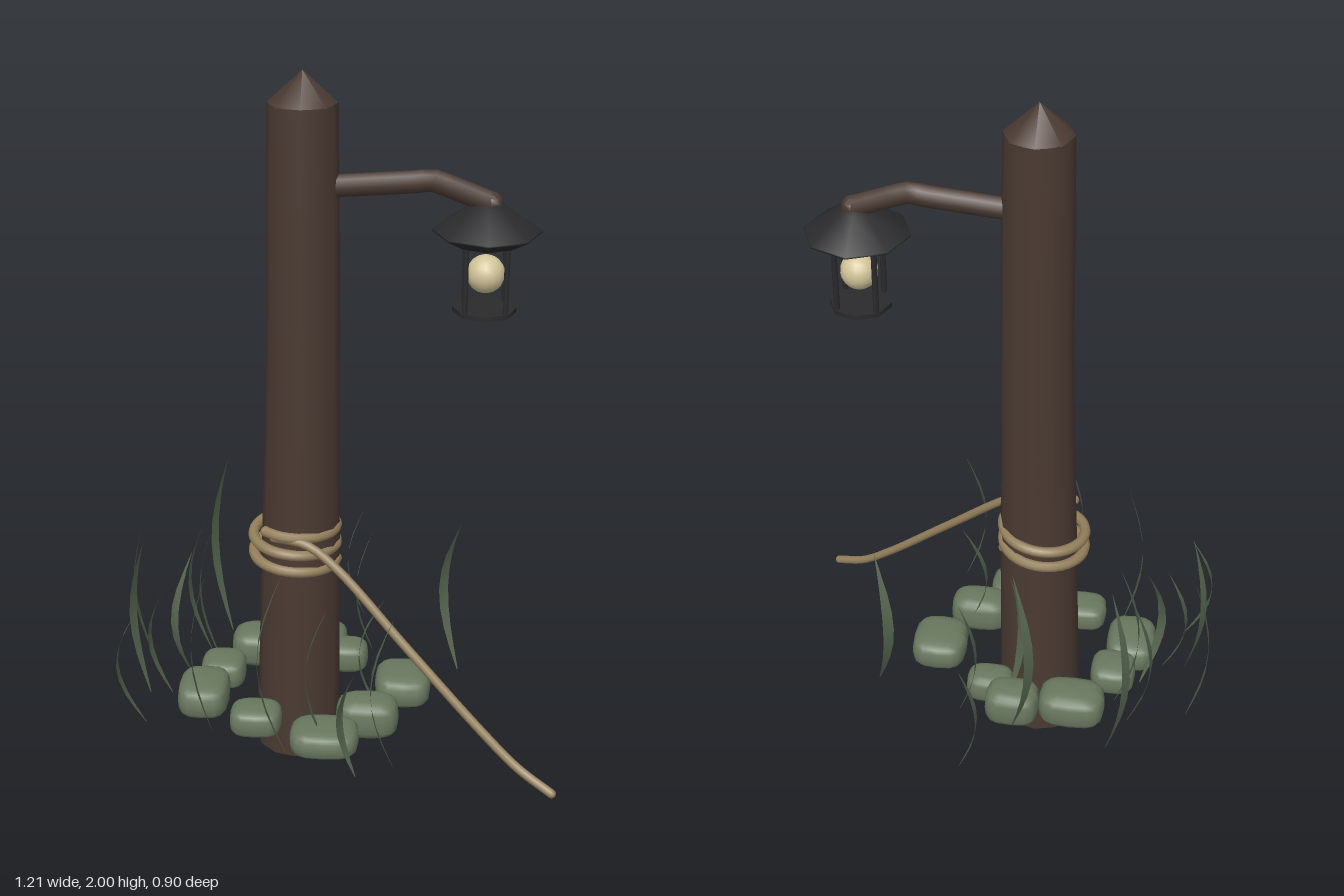
import * as THREE from 'three';

const mat = (name, color, side = THREE.FrontSide) => {
  const m = new THREE.MeshStandardMaterial({ color, side });
  m.name = name;
  return m;
};
const V = (x, y, z) => new THREE.Vector3(x, y, z);
const profile = (pts) => pts.map(([r, y]) => new THREE.Vector2(r, y));

export function createModel() {
  const wood = mat('dark wood', 0x4a3a32);
  const iron = mat('black iron', 0x2a2a2c);
  const rope = mat('rope tan', 0x94805c);
  const glow = mat('lamp cream', 0xd2c59a);
  const moss = mat('mossy stone', 0x69785f);
  const reed = mat('reed green', 0x566650, THREE.DoubleSide);

  const root = new THREE.Group();
  const add = (parent, name, geo, material, x = 0, y = 0, z = 0) => {
    const m = new THREE.Mesh(geo, material);
    m.name = name;
    m.position.set(x, y, z);
    parent.add(m);
    return m;
  };

  // Leaning post: lathe whose rings are shifted along a gently bent axis
  const axis = (y) => [
    y < 1.3 ? -0.118 + 0.026 * (y / 1.3) : -0.092 + 0.004 * (y - 1.3) / 0.7,
    0.004 + 0.012 * y,
  ];
  const lean = (geo) => {
    const p = geo.attributes.position;
    for (let i = 0; i < p.count; i++) {
      const [dx, dz] = axis(p.getY(i));
      p.setXYZ(i, p.getX(i) + dx, p.getY(i), p.getZ(i) + dz);
    }
    return geo;
  };
  add(root, 'post', lean(new THREE.LatheGeometry(profile([
    [0.118, 0.045], [0.116, 0.2], [0.108, 0.7], [0.101, 1], [0.096, 1.35], [0.094, 1.65], [0.09, 1.92],
  ]), 12)), wood);
  add(root, 'postFoot', lean(new THREE.LatheGeometry(profile([[0, 0], [0.06, 0.008], [0.118, 0.045]]), 12)), wood);
  add(root, 'postCap', lean(new THREE.LatheGeometry(profile([[0.09, 1.918], [0, 2]]), 8)), wood);

  // Tubes with rounded ends
  const tube = (parent, name, curve, r, material, segs, sides = 8) => {
    add(parent, name, new THREE.TubeGeometry(curve, segs, r, sides), material);
    for (const t of [0, 1]) {
      const p = curve.getPoint(t);
      add(parent, name + 'End', new THREE.SphereGeometry(r, 8, 6), material, p.x, p.y, p.z);
    }
  };

  // Bracket arm
  const arm = new THREE.CurvePath();
  const armPts = [V(-0.02, 1.705, 0.028), V(0.2, 1.722, 0.036), V(0.235, 1.728, 0.038), V(0.27, 1.717, 0.039), V(0.388, 1.672, 0.044)];
  for (let i = 0; i < 4; i++) arm.add(new THREE.LineCurve3(armPts[i], armPts[i + 1]));
  tube(root, 'bracketArm', arm, 0.03, wood, 16);

  // Lantern
  const lantern = new THREE.Group();
  lantern.name = 'lantern';
  lantern.position.set(0.379, 0, 0.045);
  root.add(lantern);
  add(lantern, 'roof', new THREE.LatheGeometry(profile([
    [0, 1.568], [0.085, 1.568], [0.14, 1.598], [0.14, 1.603], [0.045, 1.668], [0, 1.682],
  ]), 8), iron);
  add(lantern, 'floor', new THREE.CylinderGeometry(0.083, 0.083, 0.012, 8), iron, 0, 1.389, 0);
  for (const sx of [-1, 1]) for (const sz of [-1, 1])
    add(lantern, 'rod', new THREE.CylinderGeometry(0.008, 0.008, 0.19, 6), iron, sx * 0.052, 1.48, sz * 0.052);
  add(lantern, 'bulb', new THREE.SphereGeometry(0.05, 16, 12), glow, 0, 1.485, 0);

  // Rope coil, rising from the +x side around the front, and its loose tail
  const coil = [];
  const turns = 2.36;
  for (let i = 0; i <= 48; i++) {
    const t = (i / 48) * turns, a = t * Math.PI * 2;
    coil.push(V(-0.12 + 0.115 * Math.cos(a), 0.631 + 0.052 * t, 0.008 + 0.115 * Math.sin(a)));
  }
  tube(root, 'ropeCoil', new THREE.CatmullRomCurve3(coil), 0.015, rope, 96);
  tube(root, 'ropeTail', new THREE.CatmullRomCurve3([
    V(-0.17, 0.742, 0.11), V(-0.08, 0.735, 0.135), V(0, 0.685, 0.165), V(0.2, 0.49, 0.255),
    V(0.4, 0.295, 0.34), V(0.5, 0.21, 0.385), V(0.59, 0.163, 0.43),
  ]), 0.0125, rope, 40);

  // Ring of boulders: spheres pushed towards box shape [x, z, width, height, depth]
  const square = (v) => Math.sign(v) * Math.abs(v) ** 0.62;
  const stones = [
    [-0.23, -0.18, 0.19, 0.11, 0.14], [-0.06, -0.2, 0.155, 0.115, 0.125], [0.013, -0.133, 0.135, 0.09, 0.105],
    [-0.335, -0.036, 0.13, 0.09, 0.135], [-0.377, 0.094, 0.145, 0.1, 0.185], [-0.218, 0.218, 0.145, 0.085, 0.12],
    [-0.023, 0.302, 0.19, 0.08, 0.15], [0.09, 0.185, 0.175, 0.115, 0.12], [0.185, 0.016, 0.16, 0.095, 0.175],
  ];
  stones.forEach(([x, z, w, h, d]) => {
    const g = new THREE.SphereGeometry(1, 16, 10);
    const p = g.attributes.position;
    for (let i = 0; i < p.count; i++)
      p.setXYZ(i, square(p.getX(i)) * w / 2, square(p.getY(i)) * h / 2, square(p.getZ(i)) * d / 2);
    g.computeVertexNormals();
    add(root, 'stone', g, moss, x, 0.235, z);
  });

  // Reeds: pointed blades bowed sideways [x, z, tip height, yaw]
  const blade = (height, bow) => {
    const g = new THREE.PlaneGeometry(1, 1, 2, 8);
    const p = g.attributes.position;
    for (let i = 0; i < p.count; i++) {
      const t = p.getY(i) + 0.5, s = Math.sin(Math.PI * t);
      p.setXYZ(i, bow * (0.5 - s), t * height, -p.getX(i) * (0.004 + 0.03 * s) * (1 - t ** 8));
    }
    g.computeVertexNormals();
    return g;
  };
  const reeds = [
    [0.03, -0.437, 0.56, 0], [-0.365, -0.33, 0.78, -0.6], [-0.095, -0.29, 0.77, -0.75], [0.065, -0.22, 0.6, 0],
    [-0.42, -0.2, 0.65, -0.15], [0.32, -0.15, 0.68, -0.9], [-0.58, -0.145, 0.69, 0], [-0.378, -0.12, 0.7, 0],
    [-0.44, -0.005, 0.62, 0.8], [-0.56, 0.035, 0.69, -0.5], [-0.505, 0.043, 0.56, -0.15], [-0.565, 0.2, 0.57, 0],
    [-0.365, 0.235, 0.7, 0.1], [-0.043, 0.305, 0.64, 0], [-0.163, 0.338, 0.76, 0.1], [0.045, 0.42, 0.52, -0.5],
    [0.135, 0.385, 0.66, 0.1], [0.1, 0.135, 0.58, 0], [-0.06, -0.13, 0.66, 0.9],
  ];
  reeds.forEach(([x, z, top, yaw], i) => {
    add(root, 'reed', blade(top - 0.2, 0.05 + 0.012 * (i % 3)), reed, x, 0.2, z).rotation.y = yaw;
  });

  return root;
}
